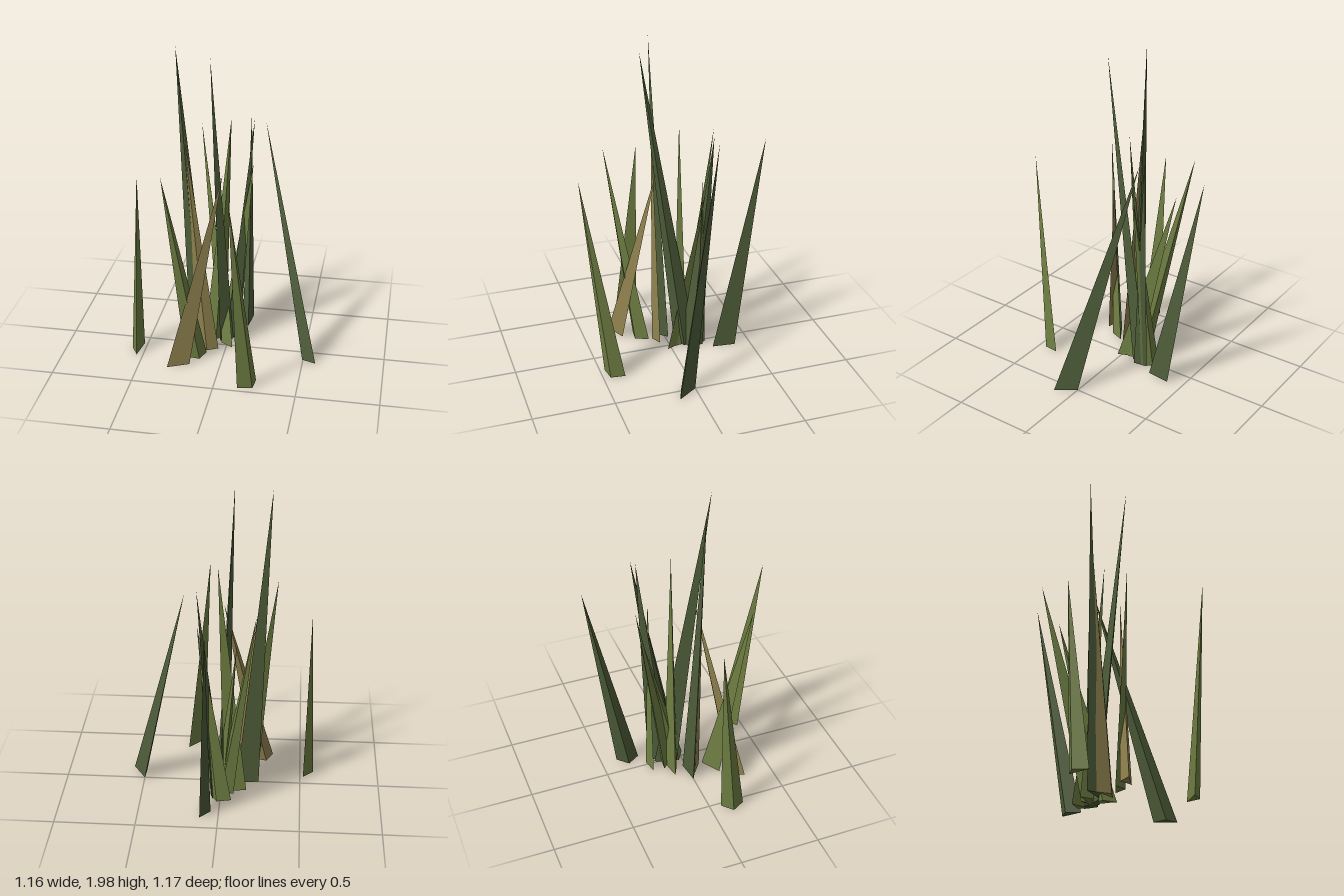
import * as THREE from 'three';

// One blade: a thin three-sided spike from a folded triangular foot to a sharp tip.
function bladeGeometry(tip, foot) {
  const t = new THREE.Vector3(...tip);
  let [a, b, c] = foot.map(([x, z]) => new THREE.Vector3(x, 0, z));
  // Order the foot so that all faces point outward
  const turn = (b.x - a.x) * (c.z - a.z) - (b.z - a.z) * (c.x - a.x);
  if (turn > 0) [b, c] = [c, b];
  const corners = [a, b, t, b, c, t, c, a, t, a, c, b];
  const geometry = new THREE.BufferGeometry().setFromPoints(corners);
  geometry.computeVertexNormals();
  return geometry;
}

export function createModel() {
  const paint = (name, color) => {
    const m = new THREE.MeshStandardMaterial({ color });
    m.name = name;
    return m;
  };
  const light = paint('light green', 0x6e7e42);
  const dark = paint('dark green', 0x4e5d39);
  const dry = paint('dry straw', 0x8e804e);

  // Material, tip [x, y, z], foot corners [x, z]
  const blades = [
    // Outlying blades
    [light, [-0.54, 1.17, 0.055], [[-0.52, 0.07], [-0.54, 0.21], [-0.585, 0.13]]],
    [dark, [0.2, 1.45, -0.24], [[0.5, 0], [0.58, 0.12], [0.495, 0.09]]],
    [light, [0.11, 1.28, 0.585], [[0.245, 0.365], [0.235, 0.455], [0.145, 0.47]]],
    [dark, [0.06, 1.38, -0.585], [[0.115, -0.4], [0.1, -0.257], [0.05, -0.335]]],
    // Dry blades
    [dry, [-0.01, 1.22, 0.082], [[-0.32, 0.32], [-0.19, 0.26], [-0.278, 0.24]]],
    [dry, [-0.25, 1.45, 0.04], [[-0.045, 0.05], [-0.185, 0.03], [-0.113, 0.085]]],
    // Tall blades
    [dark, [-0.29, 1.98, 0.042], [[-0.095, -0.02], [-0.235, 0], [-0.155, 0.045]]],
    [dark, [-0.065, 1.96, 0.163], [[-0.05, -0.045], [0.01, -0.175], [0.03, -0.087]]],
    // Central tuft
    [light, [-0.33, 1.28, 0.325], [[-0.11, 0.107], [-0.23, 0.18], [-0.141, 0.19]]],
    [light, [-0.217, 1.37, -0.355], [[-0.08, -0.14], [0.02, -0.04], [0, -0.13]]],
    [light, [-0.105, 1.15, -0.3], [[0.04, 0.025], [-0.01, -0.11], [-0.037, -0.023]]],
    [light, [0.02, 1.53, -0.05], [[-0.16, -0.095], [-0.02, -0.12], [-0.08, -0.055]]],
    [dark, [0.132, 1.465, -0.23], [[0.05, -0.205], [-0.02, -0.08], [0.063, -0.116]]],
    [light, [0.137, 1.2, -0.157], [[-0.07, -0.21], [0.02, -0.23], [0.06, -0.17]]],
  ];

  const group = new THREE.Group();
  group.name = 'grassTuft';
  blades.forEach(([material, tip, foot], i) => {
    const blade = new THREE.Mesh(bladeGeometry(tip, foot), material);
    blade.name = `grassBlade${i + 1}`;
    group.add(blade);
  });
  return group;
}
